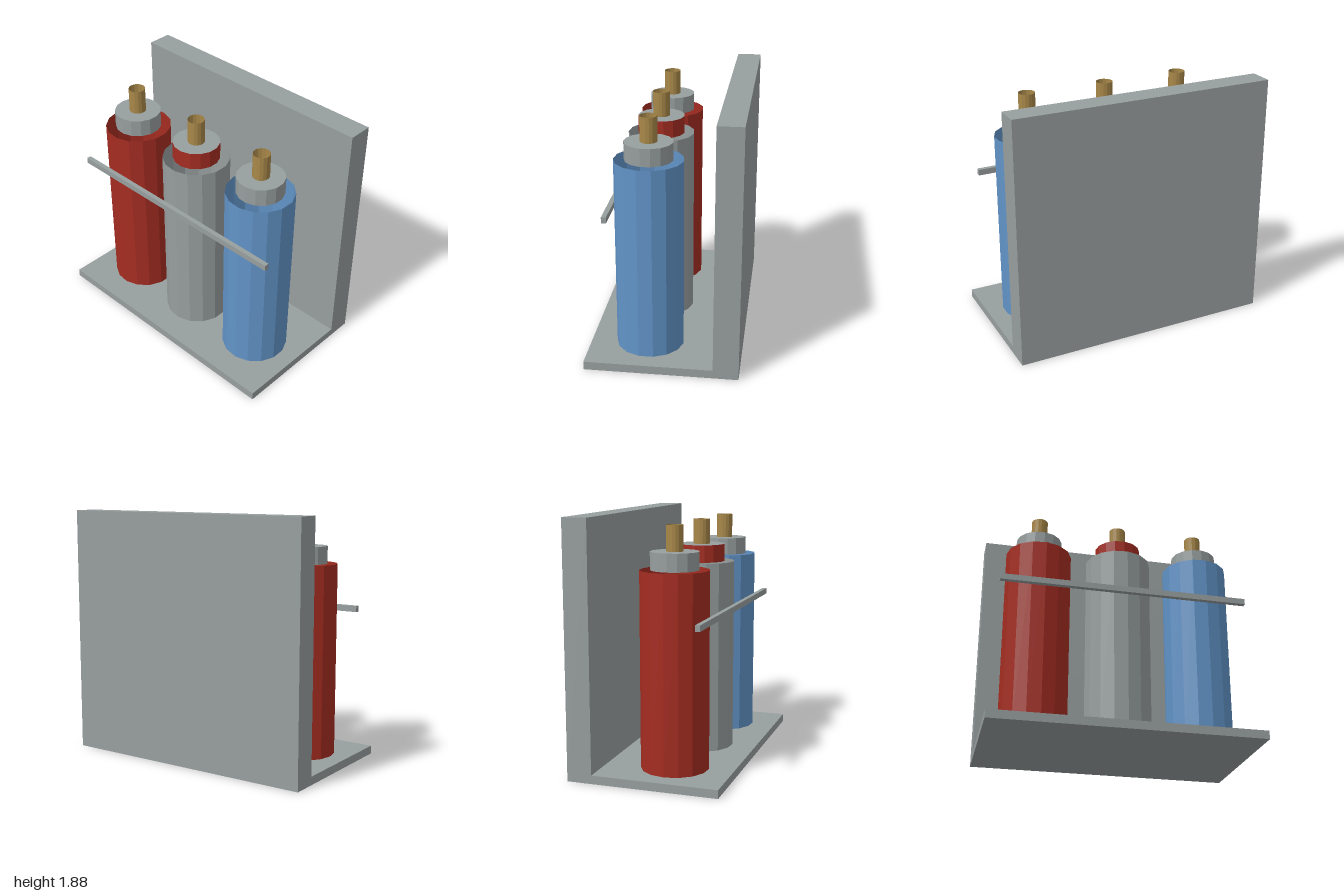
import * as THREE from 'three';

const SIDES = 15;

function material(name, color, options = {}) {
  const m = new THREE.MeshStandardMaterial({ color, ...options });
  m.name = name;
  return m;
}

export function createModel() {
  const open = { side: THREE.DoubleSide, flatShading: true };
  const grey = material('steel grey', 0x989f9f, open);
  const red = material('red', 0xa52d22, open);
  const blue = material('blue', 0x6294c8, open);
  const brass = material('brass', 0xa88849, open);

  const group = new THREE.Group();
  group.name = 'cylinderRack';

  // Box given by its lower and upper corners
  function box(name, [x0, y0, z0], [x1, y1, z1]) {
    const mesh = new THREE.Mesh(new THREE.BoxGeometry(x1 - x0, y1 - y0, z1 - z0), grey);
    mesh.position.set((x0 + x1) / 2, (y0 + y1) / 2, (z0 + z1) / 2);
    mesh.name = name;
    group.add(mesh);
  }

  // Open faceted tube standing between two heights
  function tube(name, radius, y0, y1, mat) {
    const geometry = new THREE.CylinderGeometry(radius, radius, y1 - y0, SIDES, 1, true, -Math.PI / 2);
    const mesh = new THREE.Mesh(geometry, mat);
    mesh.position.y = (y0 + y1) / 2;
    mesh.name = name;
    return mesh;
  }

  // Rack: floor plate, thick back wall and front retaining bar
  box('basePlate', [-1, 0, -0.375], [1, 0.0625, 0.56]);
  box('backWall', [-1, 0, -0.56], [1, 1.875, -0.375]);
  box('retainingBar', [-0.9375, 1.13, 0.375], [0.9375, 1.175, 0.41]);

  // Three gas bottles: hollow body, collar, flat lid and hollow valve stem
  const bottles = [
    { name: 'rightBottle', x: -0.625, body: red, collar: grey },
    { name: 'middleBottle', x: 0, body: grey, collar: red },
    { name: 'leftBottle', x: 0.625, body: blue, collar: grey },
  ];
  for (const { name, x, body, collar } of bottles) {
    const bottle = new THREE.Group();
    bottle.name = name;
    bottle.position.set(x, 0, 0.125);

    const lid = new THREE.Mesh(new THREE.CircleGeometry(0.175, SIDES, Math.PI), grey);
    lid.name = 'collarLid';
    lid.rotation.x = -Math.PI / 2;
    lid.position.y = 1.63;

    bottle.add(
      tube('body', 0.25, 0.0625, 1.5, body),
      tube('collar', 0.175, 1.5, 1.63, collar),
      lid,
      tube('valveStem', 0.0625, 1.63, 1.815, brass),
    );
    group.add(bottle);
  }
  return group;
}
